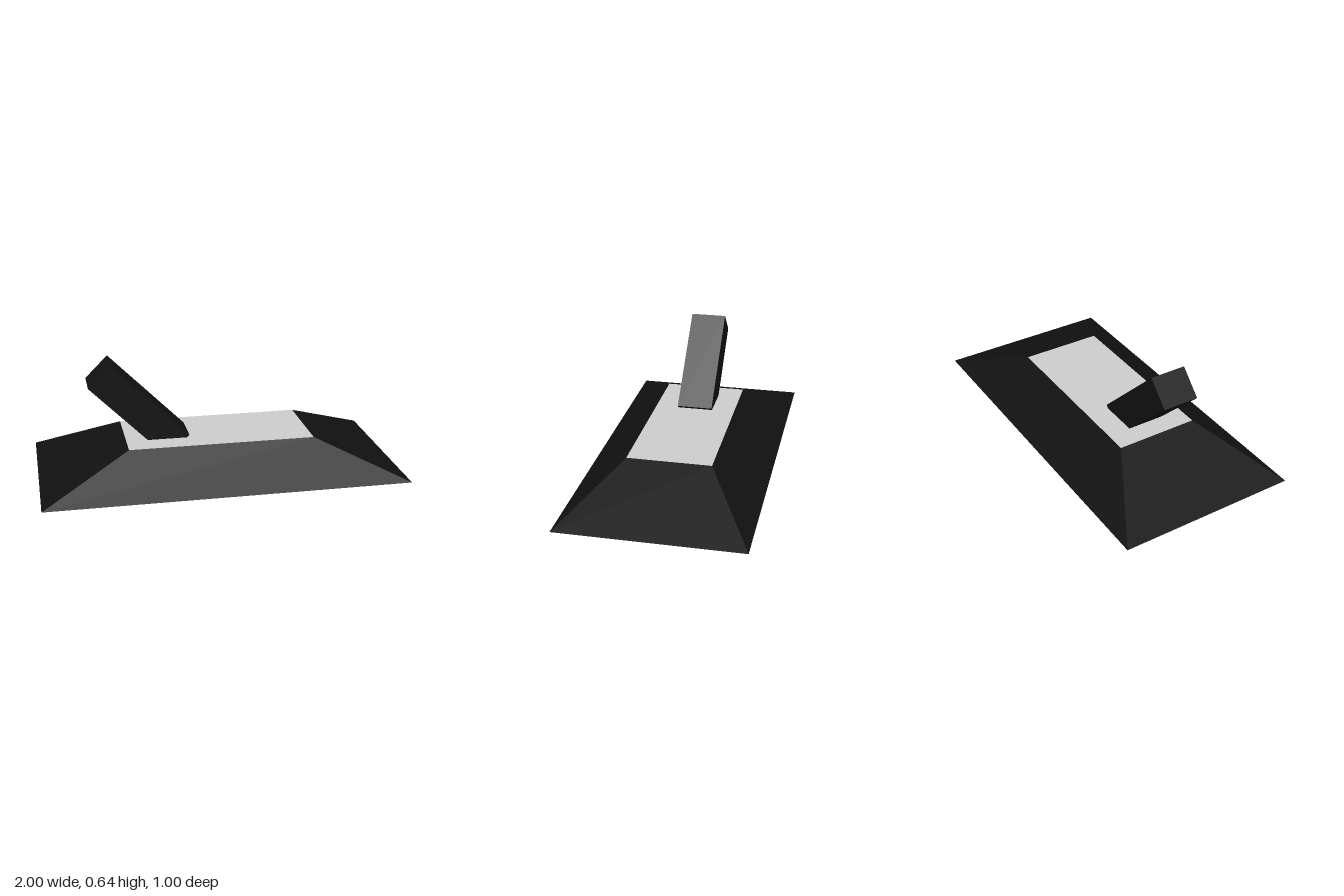
import * as THREE from 'three';

const HEIGHT = 0.2, TOP_X = 0.515, TOP_Z = 0.23;

export function createModel() {
  const model = new THREE.Group();
  const dark = new THREE.MeshStandardMaterial({ color: 0x111111, flatShading: true });
  const grey = new THREE.MeshStandardMaterial({ color: 0xcccccc, flatShading: true });

  const add = (name, geometry, material) => {
    const mesh = new THREE.Mesh(geometry, material);
    mesh.name = name;
    model.add(mesh);
    return mesh;
  };

  // Sloped base: a box whose upper corners are drawn inwards
  const base = new THREE.BoxGeometry(2, HEIGHT, 1).translate(0, HEIGHT / 2, 0);
  const p = base.attributes.position;
  for (let i = 0; i < p.count; i++) {
    if (p.getY(i) > HEIGHT / 2) {
      p.setX(i, Math.sign(p.getX(i)) * TOP_X);
      p.setZ(i, Math.sign(p.getZ(i)) * TOP_Z);
    }
  }
  // Leave out the top face, which the grey panel fills
  const index = Array.from(base.index.array);
  index.splice(12, 6);
  base.setIndex(index);
  base.clearGroups();
  base.computeVertexNormals();
  add('base', base, dark);

  // Flat panel on top of the base
  const panel = new THREE.PlaneGeometry(2 * TOP_X, 2 * TOP_Z).rotateX(-Math.PI / 2);
  add('topPanel', panel, grey).position.y = HEIGHT;

  // Lever leaning towards the right, its foot sunk into the base
  const lever = add('lever', new THREE.BoxGeometry(0.175, 0.6, 0.2), dark);
  lever.position.set(-0.4375, 0.365, 0);
  lever.rotation.z = Math.PI / 4;

  return model;
}
